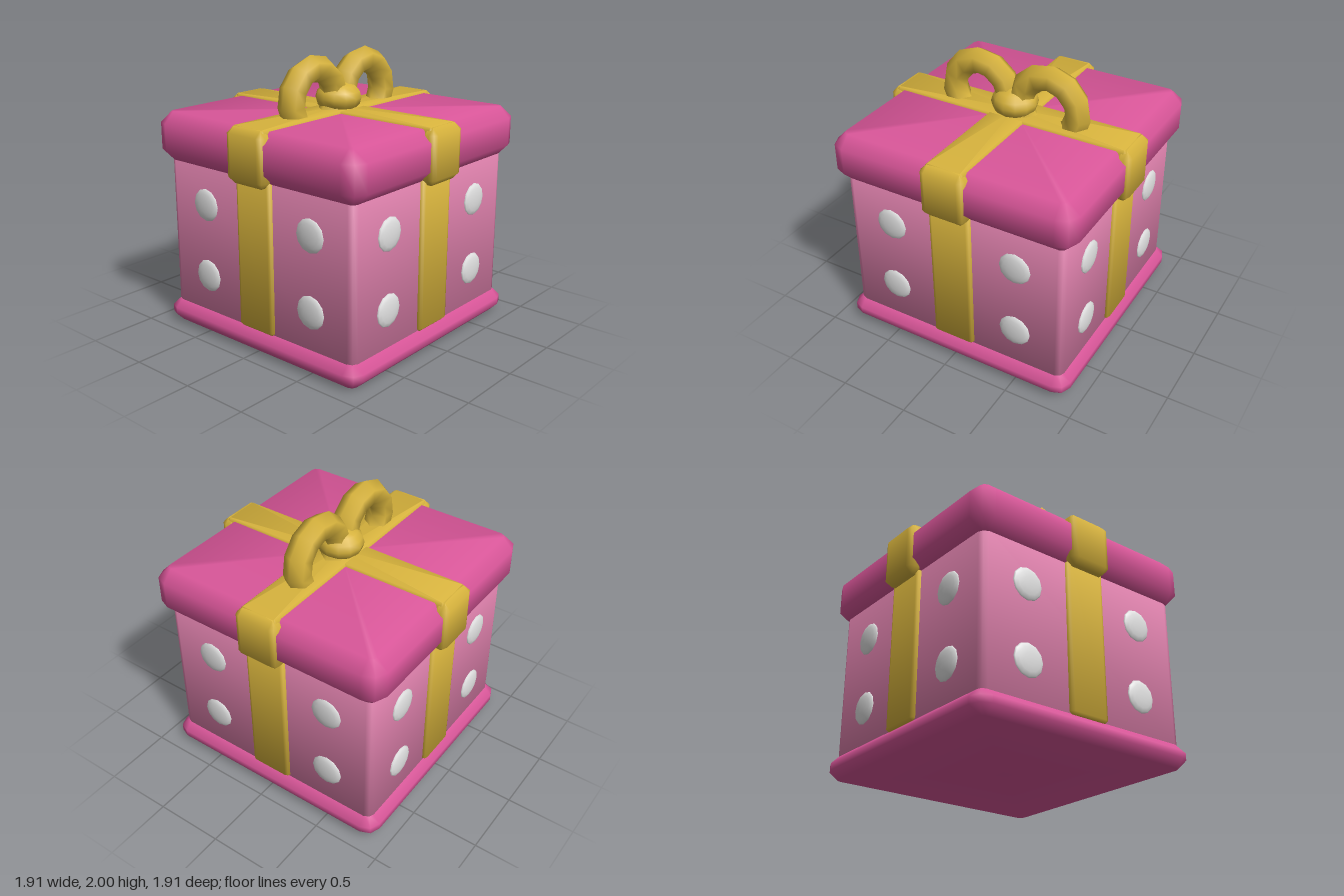
import * as THREE from 'three';

const mat = (name, color) => {
  const m = new THREE.MeshStandardMaterial({ color });
  m.name = name;
  return m;
};

// Soft box: rounded vertical corners (radius r), one chamfer (b) at top and bottom, smooth normals.
function softBox(w, h, d, r, b) {
  const cx = w / 2 - r, cz = d / 2 - r, t = Math.PI / 8;
  const outline = [];
  for (let q = 0; q < 4; q++) {
    for (let k = 0; k < 3; k++) {
      const a = (q + k / 2) * Math.PI / 2;
      const sx = q === 0 || q === 3 ? 1 : -1, sz = q < 2 ? 1 : -1;
      outline.push([sx * cx, sz * cz, Math.cos(a), Math.sin(a)]);
    }
  }
  // each ring: core scale, offset from core, height, tilt of the normal
  const rings = [
    [0, 0, 0, -Math.PI / 2], [1, r - b, 0, -3 * t], [1, r, b, -t],
    [1, r, h - b, t], [1, r - b, h, 3 * t], [0, 0, h, Math.PI / 2],
  ];
  const pos = [], nor = [], idx = [], n = outline.length;
  rings.forEach(([s, off, y, tilt], j) => {
    outline.forEach(([x, z, dx, dz], i) => {
      pos.push(x * s + dx * off, y, z * s + dz * off);
      nor.push(dx * Math.cos(tilt), Math.sin(tilt), dz * Math.cos(tilt));
      if (j < rings.length - 1) {
        const A = j * n + i, B = j * n + (i + 1) % n;
        if (j < rings.length - 2) idx.push(A, A + n, B + n);
        else idx.push(A, A + n, B);
        if (j > 0 && j < rings.length - 2) idx.push(A, B + n, B);
      }
    });
  });
  const g = new THREE.BufferGeometry();
  g.setAttribute('position', new THREE.Float32BufferAttribute(pos, 3));
  g.setAttribute('normal', new THREE.Float32BufferAttribute(nor, 3));
  g.setIndex(idx);
  return g;
}

export function createModel() {
  const model = new THREE.Group();
  model.name = 'giftBox';
  const rose = mat('deep pink', 0xd85598);
  const pink = mat('light pink', 0xdd80ab);
  const gold = mat('gold', 0xd6b23c);
  const white = mat('white', 0xe2e2e2);

  const add = (parent, name, geo, material, x = 0, y = 0, z = 0) => {
    const m = new THREE.Mesh(geo, material);
    m.name = name;
    m.position.set(x, y, z);
    parent.add(m);
    return m;
  };

  // Box
  add(model, 'base', softBox(1.81, 0.17, 1.81, 0.1, 0.06), rose);
  add(model, 'body', softBox(1.7, 1.16, 1.7, 0.05, 0.03), pink, 0, 0.12);
  add(model, 'lid', softBox(1.85, 0.355, 1.85, 0.12, 0.08), rose, 0, 1.235);

  // Ribbon and dots, repeated on the four sides
  const strip = softBox(0.325, 1.1, 0.1, 0.03, 0.02);
  const clip = softBox(0.335, 0.39, 0.12, 0.045, 0.045);
  const dot = new THREE.SphereGeometry(0.12, 12, 8);
  dot.rotateX(Math.PI / 2);
  dot.scale(1, 1, 0.24);
  for (let i = 0; i < 4; i++) {
    const side = new THREE.Group();
    side.name = 'side' + (i + 1);
    side.rotation.y = i * Math.PI / 2;
    model.add(side);
    add(side, 'ribbonStrip', strip, gold, 0, 0.16, 0.827);
    add(side, 'lidRibbonEnd', clip, gold, 0, 1.212, 0.893);
    for (const x of [-0.49, 0.49]) {
      for (const y of [0.435, 0.965]) add(side, 'dot', dot, white, x, y, 0.848);
    }
  }

  // Ribbon crossing the lid
  add(model, 'ribbonAcross', softBox(1.82, 0.1, 0.285, 0.02, 0.015), gold, 0, 1.504);
  add(model, 'ribbonFrontToBack', softBox(0.285, 0.1, 1.82, 0.02, 0.015), gold, 0, 1.503);

  // Bow: two hoops sunk into the lid and a flattened knot
  const hoop = new THREE.TorusGeometry(0.222, 0.096, 6, 12);
  for (const s of [-1, 1]) {
    const loop = add(model, s > 0 ? 'bowLoopLeft' : 'bowLoopRight', hoop, gold, s * 0.267, 1.687);
    loop.rotation.z = -s * 0.09;
  }
  const knot = add(model, 'bowKnot', new THREE.SphereGeometry(0.167, 12, 8), gold, 0, 1.672);
  knot.scale.y = 0.7;

  return model;
}
